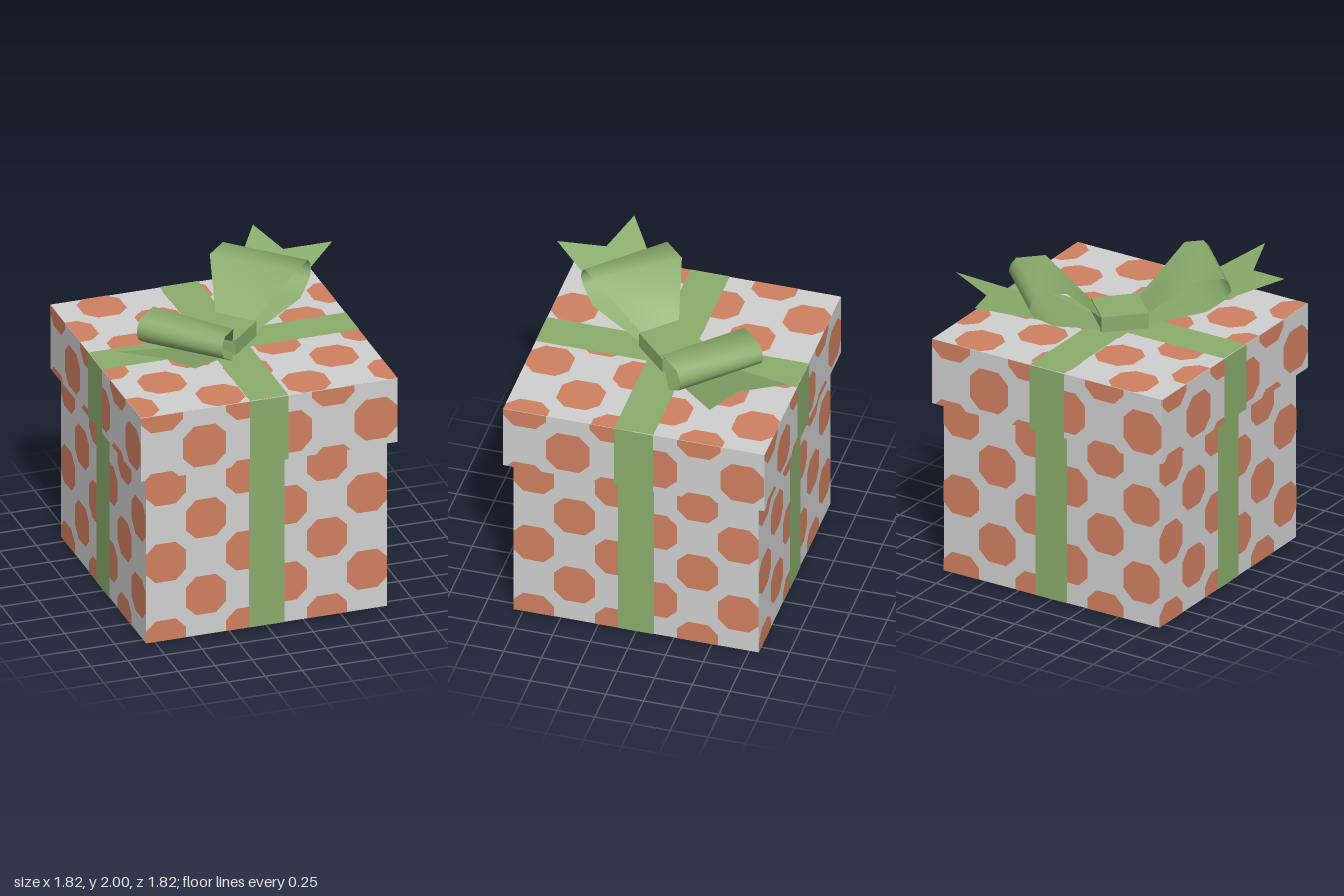
import * as THREE from 'three';
import { toCreasedNormals } from 'three/addons/utils/BufferGeometryUtils.js';

const flat = (name, color, side = THREE.FrontSide) => {
  const m = new THREE.MeshStandardMaterial({ color, side });
  m.name = name;
  return m;
};

// Octagonal dot cut off at the edges of a panel [u0, v0, u1, v1]
function dotOutline(cx, cy, r, [u0, v0, u1, v1]) {
  const f = r * 0.5;
  let pts = [[r, -f], [r, f], [f, r], [-f, r], [-r, f], [-r, -f], [-f, -r], [f, -r]]
    .map(([x, y]) => [cx + x, cy + y]);
  for (const [axis, limit, sign] of [[0, u0, 1], [0, u1, -1], [1, v0, 1], [1, v1, -1]]) {
    const inside = p => (p[axis] - limit) * sign;
    const out = [];
    pts.forEach((a, i) => {
      const b = pts[(i + 1) % pts.length], da = inside(a), db = inside(b);
      if (da >= 0) out.push(a);
      if (da * db < 0) {
        const t = da / (da - db);
        out.push([a[0] + (b[0] - a[0]) * t, a[1] + (b[1] - a[1]) * t]);
      }
    });
    pts = out;
  }
  return pts;
}

// Staggered dots filling a panel, starting at (u, v) with the given step
function dotsGeometry(bounds, u, v, step) {
  const shapes = [];
  for (let row = -1; row < 9; row++) {
    for (let col = -1; col < 5; col++) {
      const cx = u + col * step * 2 + (Math.abs(row) % 2) * step;
      const pts = dotOutline(cx, v + row * step, step * 0.5, bounds);
      if (pts.length > 2) shapes.push(new THREE.Shape(pts.map(p => new THREE.Vector2(...p))));
    }
  }
  return new THREE.ShapeGeometry(shapes);
}

export function createModel() {
  const paper = flat('paper grey', 0xd0d0d0);
  const orange = flat('dot orange', 0xd08060);
  const green = flat('ribbon green', 0x8aac6c);
  const bowGreen = flat('bow green', 0x8aac6c, THREE.DoubleSide);
  bowGreen.color = green.color;

  const model = new THREE.Group();
  model.name = 'giftBox';
  const add = (parent, name, geo, mat) => {
    const mesh = new THREE.Mesh(geo, mat);
    mesh.name = name;
    parent.add(mesh);
    return mesh;
  };

  // Box with dots and a ribbon band on its four sides
  function wrappedBox(name, half, y0, y1, step, u, v, band) {
    const group = new THREE.Group();
    group.name = name;
    model.add(group);
    const h = y1 - y0;
    add(group, name + 'Paper', new THREE.BoxGeometry(half * 2, h, half * 2), paper).position.y = y0 + h / 2;
    const dots = dotsGeometry([-half, y0, half, y1], u, v, step).translate(0, 0, half + 0.002);
    const strip = new THREE.PlaneGeometry(band * 2, h).translate(0, y0 + h / 2, half + 0.004);
    for (let k = 0; k < 4; k++) {
      add(group, name + 'SideDots', dots, orange).rotation.y = k * Math.PI / 2;
      add(group, name + 'SideRibbon', strip, green).rotation.y = k * Math.PI / 2;
    }
    return group;
  }

  // Dots and crossed ribbons on a horizontal face, dir = 1 up or -1 down
  function crossedFace(group, name, half, y, step, band, dir) {
    const face = new THREE.Group();
    face.name = name;
    face.position.y = y;
    face.rotation.x = -dir * Math.PI / 2;
    group.add(face);
    add(face, name + 'Dots', dotsGeometry([-half, -half, half, half],
      -2.96 * step, -2.48 * step, step), orange).position.z = 0.002;
    for (const [w, h] of [[band * 2, half * 2], [half * 2, band * 2]]) {
      add(face, name + 'Ribbon', new THREE.PlaneGeometry(w, h), green).position.z = 0.004;
    }
  }

  const body = wrappedBox('body', 0.812, 0, 1.18, 0.272, -0.68, 0.01, 0.12);
  crossedFace(body, 'bodyBottom', 0.812, 0, 0.272, 0.12, -1);
  const lid = wrappedBox('lid', 0.866, 1.18, 1.63, 0.289, -0.725, 1.08, 0.13);
  crossedFace(lid, 'lidTop', 0.866, 1.63, 0.29, 0.13, 1);

  // Bow loop: cross-sections [distance, height, half width] around the curl
  function loopGeometry(cutCorner) {
    const profile = [[0.155, 1.73, 0.135], [0.417, 2, 0.3], [0.61, 2, 0.3], [0.645, 1.96, 0.3],
      [0.658, 1.91, 0.3], [0.633, 1.86, 0.3], [0.5, 1.78, 0.3], [0.155, 1.65, 0.135]];
    const pos = [], index = [];
    profile.forEach(([d, y, w], i) => {
      pos.push(i === 1 && cutCorner ? 0.488 : d, y, -w, d, y, w);
      if (i) {
        const a = 2 * i - 2;
        index.push(a, a + 1, a + 2, a + 1, a + 3, a + 2);
      }
    });
    const geo = new THREE.BufferGeometry();
    geo.setAttribute('position', new THREE.Float32BufferAttribute(pos, 3));
    geo.setIndex(index);
    return toCreasedNormals(geo, 1.2);
  }

  // Swallow-tailed ribbon end rising away from the knot
  const tail = new THREE.ShapeGeometry(new THREE.Shape([[0.15, -0.135], [1.01, -0.28],
    [0.87, 0], [1.01, 0.28], [0.15, 0.135]].map(p => new THREE.Vector2(...p))));
  tail.rotateX(-Math.PI / 2);
  const tp = tail.attributes.position;
  for (let i = 0; i < tp.count; i++) tp.setY(i, 1.635 + (tp.getX(i) - 0.15) * 0.366);
  tail.computeVertexNormals();

  const bow = new THREE.Group();
  bow.name = 'bow';
  bow.rotation.y = Math.PI / 4;
  model.add(bow);
  add(bow, 'knot', new THREE.BoxGeometry(0.31, 0.11, 0.31), green).position.y = 1.685;
  for (const k of [0, 1]) {
    const side = new THREE.Group();
    side.name = k ? 'rightBowHalf' : 'leftBowHalf';
    side.rotation.y = k * Math.PI;
    bow.add(side);
    add(side, 'loop', loopGeometry(k === 1), bowGreen);
    add(side, 'tail', tail, bowGreen);
  }
  return model;
}
